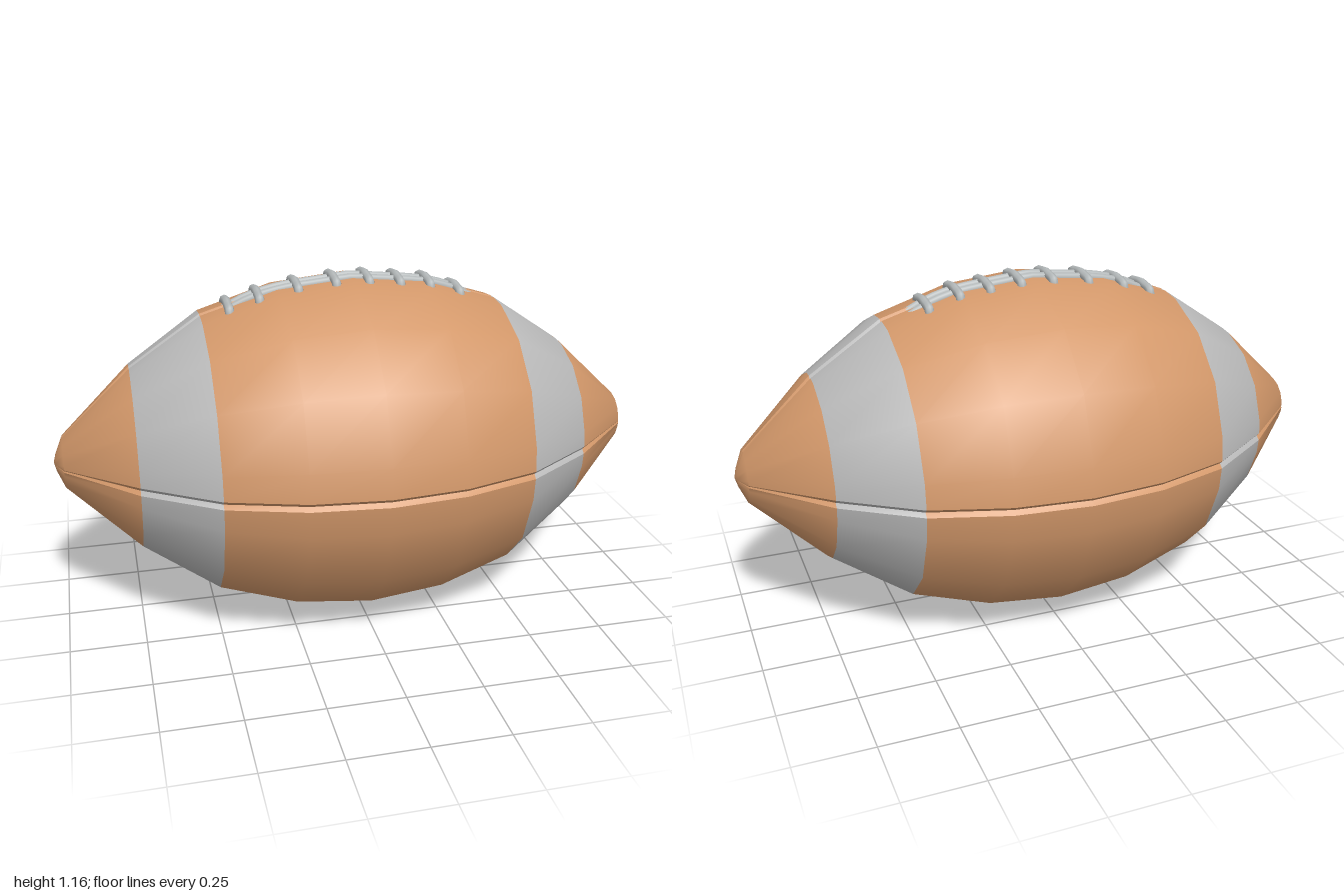
import * as THREE from 'three';
import { toCreasedNormals } from 'three/addons/utils/BufferGeometryUtils.js';

const CENTER_Y = 0.57;
// Half profile: distance along the axis, radius
const HALF = [[0, 0.57], [0.25, 0.545], [0.5, 0.468], [0.737, 0.307], [0.967, 0.088], [0.992, 0.03], [1, 0.001]];
const PROFILE = [...HALF.slice(1).reverse().map(([x, r]) => [-x, r]), ...HALF];

function radiusAt(x) {
  const i = HALF.findIndex((p) => p[0] > Math.abs(x));
  const [x0, r0] = HALF[i - 1], [x1, r1] = HALF[i];
  return r0 + (r1 - r0) * (Math.abs(x) - x0) / (x1 - x0);
}

// Sixteen-sided cross-section with a narrow groove at each of the four seams
function section(x, r) {
  const fade = Math.min(1, r / 0.3);
  const groove = Math.min(0.15, 0.013 * fade / r);
  const points = [];
  for (let q = 0; q < 4; q++) {
    const start = q * Math.PI / 2;
    const angles = [0, groove, ...[0.5, 1.5, 2.5, 3.5].map((k) => k * Math.PI / 8), Math.PI / 2 - groove];
    angles.forEach((a, i) => {
      const rr = i === 0 ? r - Math.min(0.014 * fade, r * 0.3) : r;
      points.push(x, CENTER_Y + rr * Math.cos(start + a), rr * Math.sin(start + a));
    });
  }
  return points;
}

// Leather shell, with the two stripes as material groups
function shellGeometry() {
  const n = 28, position = [], index = [];
  const geometry = new THREE.BufferGeometry();
  PROFILE.forEach(([x, r]) => position.push(...section(x, r)));
  for (let i = 0; i < PROFILE.length - 1; i++) {
    const start = index.length;
    for (let j = 0; j < n; j++) {
      const a = i * n + j, c = i * n + (j + 1) % n;
      index.push(a, c, a + n, c, c + n, a + n);
    }
    const mid = Math.abs(PROFILE[i][0] + PROFILE[i + 1][0]) / 2;
    geometry.addGroup(start, index.length - start, mid > 0.5 && mid < 0.737 ? 1 : 0);
  }
  geometry.setAttribute('position', new THREE.Float32BufferAttribute(position, 3));
  geometry.setIndex(index);
  return toCreasedNormals(geometry, 0.6);
}

function tube(points, radius, segments, material, name) {
  const curve = new THREE.CatmullRomCurve3(points);
  const mesh = new THREE.Mesh(new THREE.TubeGeometry(curve, segments, radius, 8), material);
  mesh.name = name;
  return mesh;
}

export function createModel() {
  const leather = new THREE.MeshStandardMaterial({ color: 0xd3986a });
  leather.name = 'tan leather';
  const stripe = new THREE.MeshStandardMaterial({ color: 0xb9b9b9 });
  stripe.name = 'grey stripe';
  const lace = new THREE.MeshStandardMaterial({ color: 0xb5babb });
  lace.name = 'grey lace';

  const ball = new THREE.Group();
  ball.name = 'football';
  const shell = new THREE.Mesh(shellGeometry(), [leather, stripe]);
  shell.name = 'shell';
  ball.add(shell);

  const laces = new THREE.Group();
  laces.name = 'laces';
  ball.add(laces);

  // Two cords running along the top seam, ends tucked into the leather
  for (const z of [-0.024, 0.018]) {
    const points = [];
    for (let i = 0; i <= 12; i++) {
      const x = -0.42 + 0.83 * i / 12;
      const tuck = i === 0 || i === 12 ? 0.012 : 0;
      points.push(new THREE.Vector3(x, CENTER_Y + radiusAt(x) - 0.004 - tuck, z));
    }
    laces.add(tube(points, 0.015, 24, lace, 'longCord'));
  }

  // Cross stitches bent over the cords
  for (const x of [-0.41, -0.312, -0.185, -0.06, 0.05, 0.155, 0.257, 0.36]) {
    const y = CENTER_Y + radiusAt(x);
    const points = [[-0.076, -0.022], [-0.07, -0.003], [-0.035, 0.004], [0, 0.008], [0.035, 0.004], [0.07, -0.003], [0.076, -0.022]]
      .map(([z, dy]) => new THREE.Vector3(x, y + dy, z - 0.005));
    laces.add(tube(points, 0.0155, 18, lace, 'crossStitch'));
  }
  return ball;
}
